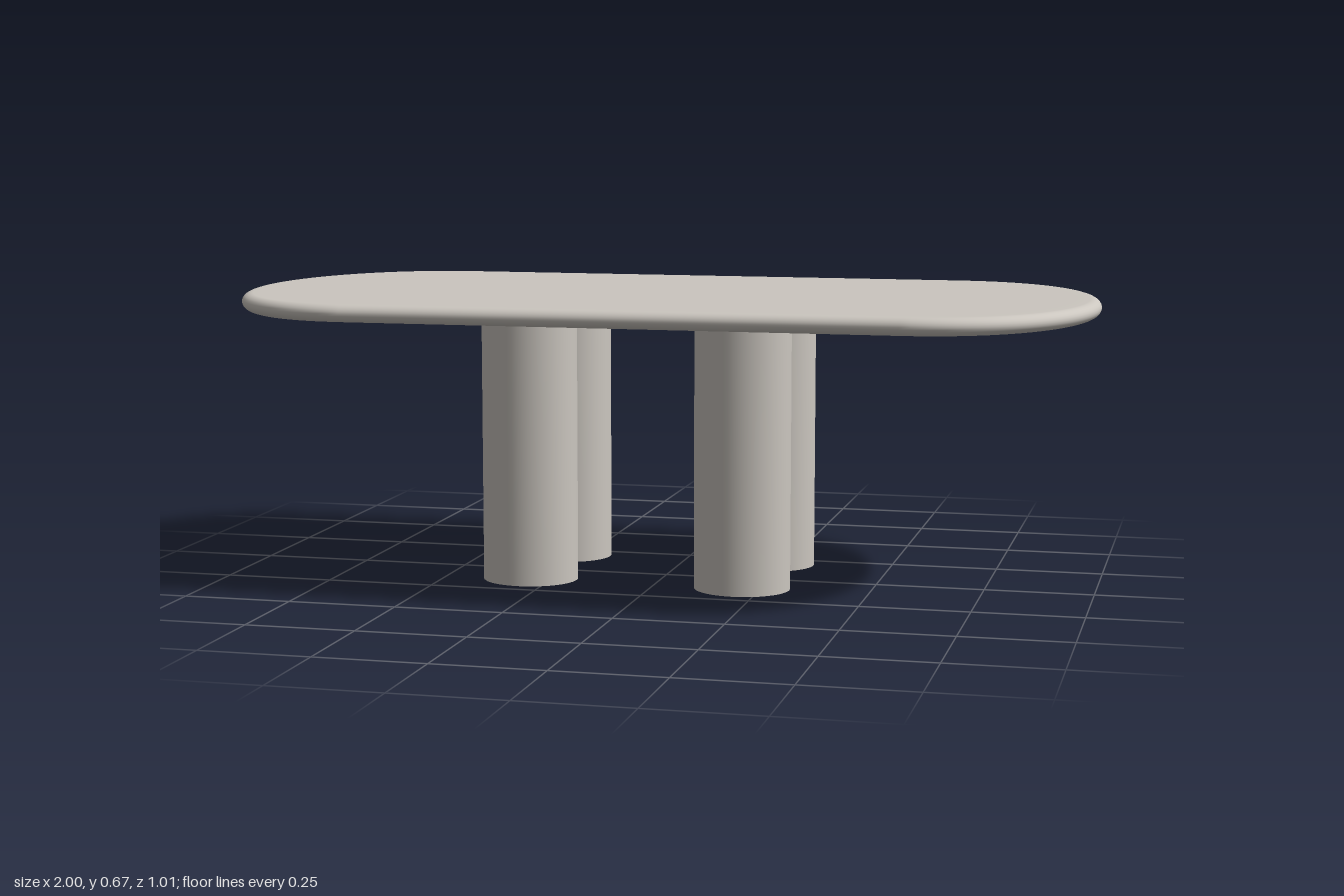
import * as THREE from 'three';

const HALF_X = 1, HALF_Z = 0.505;
const TOP_Y = 0.67, THICKNESS = 0.04, EDGE_INSET = 0.026;

// Plan outline of the table top: straight long sides, softly bowed ends
function tableOutline() {
  const s = new THREE.Shape();
  const flat = 0.62, bow = 0.26, shoulder = 0.86;
  s.moveTo(HALF_X, 0);
  s.bezierCurveTo(HALF_X, bow, shoulder, HALF_Z, flat, HALF_Z);
  s.lineTo(-flat, HALF_Z);
  s.bezierCurveTo(-shoulder, HALF_Z, -HALF_X, bow, -HALF_X, 0);
  s.bezierCurveTo(-HALF_X, -bow, -shoulder, -HALF_Z, -flat, -HALF_Z);
  s.lineTo(flat, -HALF_Z);
  s.bezierCurveTo(shoulder, -HALF_Z, HALF_X, -bow, HALF_X, 0);
  const pts = s.getPoints(28);
  if (pts[0].distanceTo(pts[pts.length - 1]) < 1e-6) pts.pop();
  return pts;
}

// Slab with a rounded edge, lofted from inset copies of the outline
function slabGeometry() {
  const outline = tableOutline();
  const n = outline.length;
  const outward = outline.map((p, i) => {
    const before = p.clone().sub(outline[(i + n - 1) % n]).normalize();
    const after = outline[(i + 1) % n].clone().sub(p).normalize();
    const t = before.add(after).normalize();
    return new THREE.Vector2(t.y, -t.x);
  });

  const positions = [], index = [];
  const midY = TOP_Y - THICKNESS / 2;
  const addRing = (scale, inset, y) => outline.forEach((p, i) => positions.push(
    (p.x - outward[i].x * inset) * scale, y, (p.y - outward[i].y * inset) * scale));

  // Underside centre, rounded rim from below to above, then top centre
  const steps = 12;
  addRing(0, 0, TOP_Y - THICKNESS);
  addRing(0.97, EDGE_INSET, TOP_Y - THICKNESS);
  for (let k = 0; k <= steps; k++) {
    const a = -Math.PI / 2 + Math.PI * k / steps;
    addRing(1, EDGE_INSET * (1 - Math.cos(a)), midY + Math.sin(a) * THICKNESS / 2);
  }
  addRing(0.97, EDGE_INSET, TOP_Y);
  addRing(0, 0, TOP_Y);

  for (let r = 0; r < steps + 4; r++) {
    for (let i = 0; i < n; i++) {
      const a = r * n + i, b = r * n + (i + 1) % n;
      index.push(a, a + n, b, b, a + n, b + n);
    }
  }
  const g = new THREE.BufferGeometry();
  g.setAttribute('position', new THREE.Float32BufferAttribute(positions, 3));
  g.setIndex(index);
  g.computeVertexNormals();
  return g;
}

export function createModel() {
  const group = new THREE.Group();
  group.name = 'table';
  const stone = new THREE.MeshStandardMaterial({ color: 0xcbc6bf });
  stone.name = 'warm grey stone';

  const top = new THREE.Mesh(slabGeometry(), stone);
  top.name = 'tableTop';
  group.add(top);

  // Four thick, slightly oval column legs
  const legHeight = TOP_Y - THICKNESS + 0.005;
  const legGeometry = new THREE.CylinderGeometry(1, 1, legHeight, 56);
  legGeometry.scale(0.111, 1, 0.103);
  legGeometry.translate(0, legHeight / 2, 0);
  for (const [side, x] of [['Right', -0.3], ['Left', 0.206]]) {
    for (const [end, z] of [['front', 0.112], ['back', -0.192]]) {
      const leg = new THREE.Mesh(legGeometry, stone);
      leg.name = `${end}${side}Leg`;
      leg.position.set(x, 0, z);
      group.add(leg);
    }
  }
  return group;
}
